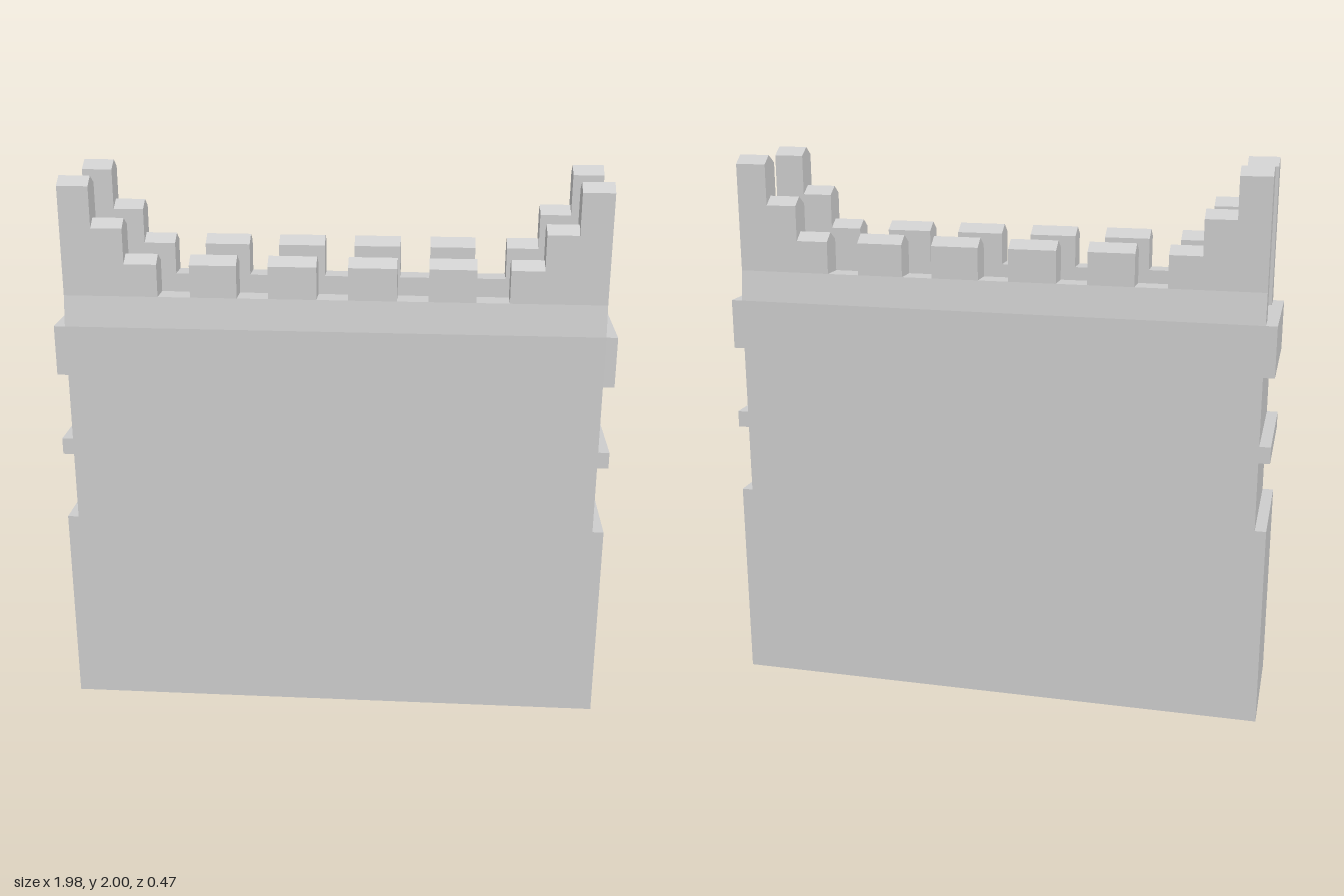
import * as THREE from 'three';

const WIDTH = 1.9, DEPTH = 0.47, DECK = 1.475, SILL = 1.585;
const OUTER = 0.22, INNER = 0.135, RIDGE = 0.18, ROOF = 0.03;

const material = new THREE.MeshStandardMaterial({ color: 0xcccccc, flatShading: true });
const shellMaterial = new THREE.MeshStandardMaterial({ color: 0xcccccc, flatShading: true, side: THREE.DoubleSide });

function addMesh(parent, name, geometry, mat = material) {
  const mesh = new THREE.Mesh(geometry, mat);
  mesh.name = name;
  parent.add(mesh);
  return mesh;
}

// Sweeps a cross-section of [z, y] points along x from x0 to x1
function sweepX(section, x0, x1) {
  const shape = new THREE.Shape(section.map(([z, y]) => new THREE.Vector2(-z, y)));
  return new THREE.ExtrudeGeometry(shape, { depth: x1 - x0, bevelEnabled: false })
    .rotateY(Math.PI / 2)
    .translate(x0, 0, 0);
}

// Battlement: battered base carrying ridged merlons that step up at the ends
function createParapet(name) {
  const parapet = new THREE.Group();
  parapet.name = name;
  const base = [[DEPTH / 2, DECK], [OUTER, SILL], [INNER, SILL], [INNER, DECK]];
  addMesh(parapet, 'parapetBase', sweepX(base, -WIDTH / 2, WIDTH / 2));

  // [inner x, outer x, eave height], mirrored to both sides
  const merlons = [
    [0.055, 0.225, 1.70],
    [0.335, 0.50, 1.70],
    [0.615, 0.73, 1.70],
    [0.73, 0.84, 1.825],
    [0.84, 0.95, 1.97],
  ];
  for (const [x0, x1, eave] of merlons) {
    const section = [[OUTER, SILL], [OUTER, eave], [RIDGE, eave + ROOF], [INNER, eave], [INNER, SILL]];
    addMesh(parapet, 'merlonLeft', sweepX(section, x0, x1));
    addMesh(parapet, 'merlonRight', sweepX(section, -x1, -x0));
  }
  return parapet;
}

export function createModel() {
  const model = new THREE.Group();
  model.name = 'castleWall';

  // Hollow wall, open underneath
  const shell = new THREE.BoxGeometry(WIDTH, DECK, DEPTH).translate(0, DECK / 2, 0);
  const faces = Array.from(shell.index.array);
  faces.splice(18, 6); // bottom face
  shell.setIndex(faces);
  shell.clearGroups();
  addMesh(model, 'wallShell', shell, shellMaterial);

  // Raised bands on both ends: [bottom, top]
  const bands = [[0, 0.74], [0.99, 1.05], [1.295, DECK]];
  const bandThickness = 0.04;
  for (const [y0, y1] of bands) {
    for (const side of [-1, 1]) {
      const band = addMesh(model, side > 0 ? 'endBandLeft' : 'endBandRight',
        new THREE.BoxGeometry(bandThickness, y1 - y0, DEPTH));
      band.position.set(side * (WIDTH + bandThickness) / 2, (y0 + y1) / 2, 0);
    }
  }

  // Front and back battlements
  const back = createParapet('backParapet');
  back.rotation.y = Math.PI;
  model.add(createParapet('frontParapet'), back);

  return model;
}
